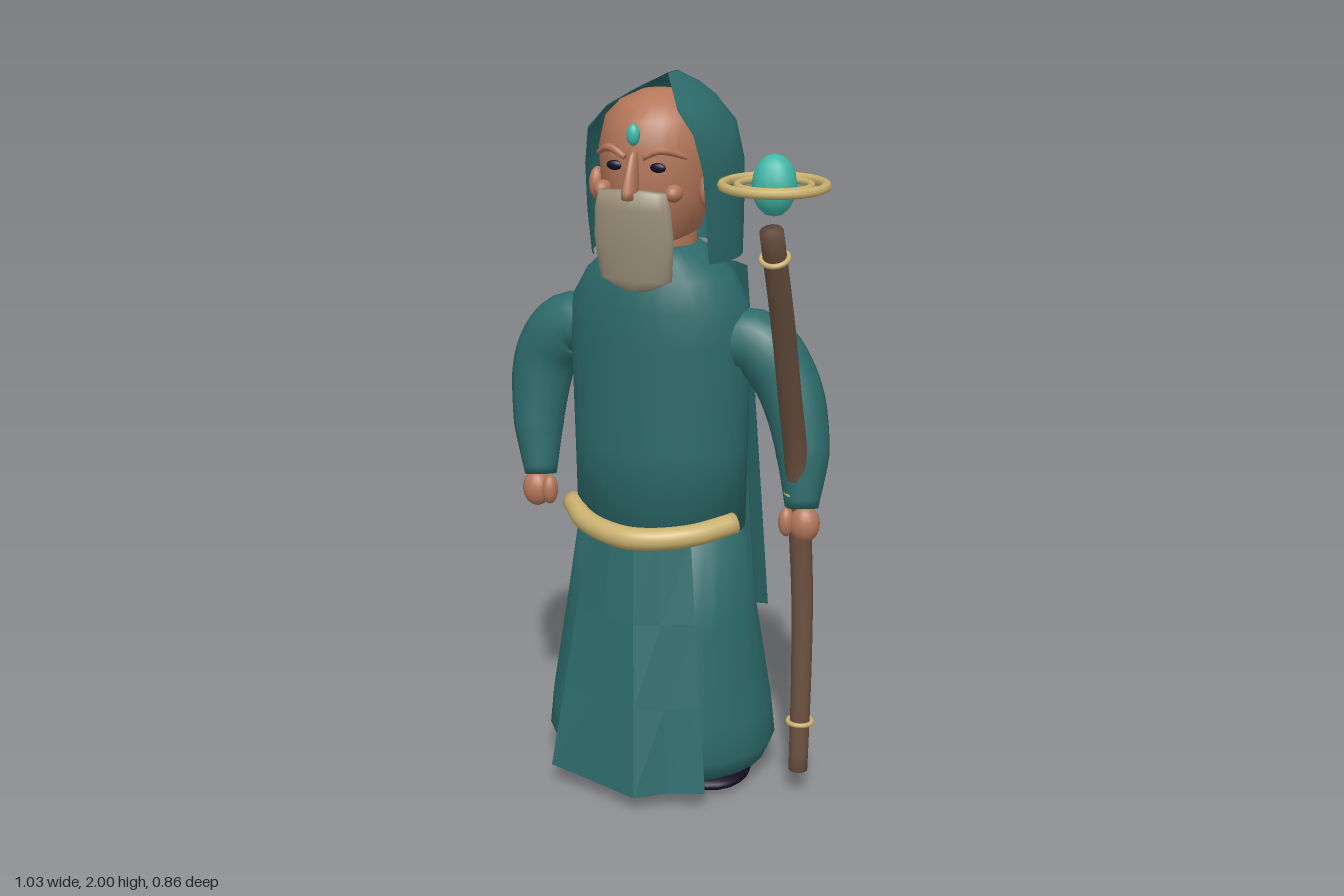
import * as THREE from 'three';

const mat = (name, color, side = THREE.FrontSide) => {
  const m = new THREE.MeshStandardMaterial({ color, side });
  m.name = name;
  return m;
};
const V = (x, y, z) => new THREE.Vector3(x, y, z);

// Skin a grid of points; each row is a cross-section
function skinGrid(rows, closed, faceted = false) {
  const n = rows[0].length, pos = [], idx = [];
  rows.forEach(r => r.forEach(p => pos.push(p.x, p.y, p.z)));
  for (let i = 0; i < rows.length - 1; i++) {
    for (let j = 0; j < (closed ? n : n - 1); j++) {
      const k = (j + 1) % n;
      const a = i * n + j, b = a + n, c = i * n + k, d = c + n;
      idx.push(a, b, c, b, d, c);
    }
  }
  let g = new THREE.BufferGeometry();
  g.setAttribute('position', new THREE.Float32BufferAttribute(pos, 3));
  g.setIndex(idx);
  if (faceted) g = g.toNonIndexed();
  g.computeVertexNormals();
  return g;
}

// Stacked ellipses, bottom to top: [y, radiusX, radiusZ, centreZ]
function loft(sections, sides = 28) {
  return skinGrid(sections.map(([y, rx, rz, cz]) =>
    Array.from({ length: sides }, (_, j) => {
      const a = (j / sides) * Math.PI * 2;
      return V(rx * Math.cos(a), y, cz + rz * Math.sin(a));
    })), true);
}

// Capped tube whose radius follows a list along the path
function taperTube(points, radii, steps = 24, sides = 14) {
  const curve = new THREE.CatmullRomCurve3(points.map(p => V(...p)));
  const f = curve.computeFrenetFrames(steps);
  const rows = [];
  const ring = (i, r) => {
    const c = curve.getPointAt(i / steps);
    rows.push(Array.from({ length: sides }, (_, j) => {
      const a = (j / sides) * Math.PI * 2;
      return c.clone().addScaledVector(f.normals[i], r * Math.cos(a))
        .addScaledVector(f.binormals[i], -r * Math.sin(a));
    }));
  };
  ring(0, 0);
  for (let i = 0; i <= steps; i++) {
    const t = (i / steps) * (radii.length - 1), k = Math.min(Math.floor(t), radii.length - 2);
    ring(i, THREE.MathUtils.lerp(radii[k], radii[k + 1], t - k));
  }
  ring(steps, 0);
  return skinGrid(rows, true);
}

export function createModel() {
  const cloth = mat('teal cloth', 0x2d6a6a, THREE.DoubleSide);
  const skin = mat('skin', 0xb4775a);
  const hair = mat('grey beard', 0x9d917b);
  const gold = mat('gold', 0xc9b06e);
  const wood = mat('wood', 0x6b5140);
  const gem = mat('turquoise gem', 0x40b8a8);
  const dark = mat('dark', 0x120c20);

  const model = new THREE.Group();
  const body = new THREE.Group();
  body.name = 'body';
  body.position.x = -0.067;
  model.add(body);

  const add = (parent, name, geometry, material, p = [0, 0, 0], s = [1, 1, 1]) => {
    const m = new THREE.Mesh(geometry, material);
    m.name = name;
    m.position.set(...p);
    m.scale.set(...s);
    parent.add(m);
    return m;
  };
  const ball = (parent, name, material, p, s) =>
    add(parent, name, new THREE.SphereGeometry(1, 18, 12), material, p, s);

  // Robe
  add(body, 'skirt', loft([
    [0.045, 0, 0, -0.085], [0.045, 0.25, 0.21, -0.085], [0.06, 0.31, 0.26, -0.085],
    [0.12, 0.336, 0.285, -0.085], [0.22, 0.325, 0.28, -0.085], [0.5, 0.28, 0.235, -0.085],
    [0.77, 0.238, 0.19, -0.08], [0.78, 0, 0, -0.08]]), cloth);
  add(body, 'torso', loft([
    [0.75, 0, 0, -0.08], [0.76, 0.245, 0.18, -0.08], [1.0, 0.25, 0.18, -0.08],
    [1.3, 0.257, 0.183, -0.08], [1.4, 0.25, 0.18, -0.08], [1.48, 0.205, 0.17, -0.08],
    [1.53, 0.15, 0.155, -0.08], [1.56, 0.1, 0.12, -0.08], [1.57, 0, 0, -0.08]]), cloth);

  // Folded cloth panels: columns are [top x, top z, bottom x, bottom z, bottom y]
  const panel = (name, columns, topY) => add(body, name, skinGrid(
    [0, 0.33, 0.66, 1].map(t => columns.map(([tx, tz, bx, bz, by]) =>
      V(tx + (bx - tx) * t, topY + (by - topY) * t, tz + (bz - tz) * t))), false, true), cloth);
  panel('cape', [
    [-0.2, -0.22, -0.255, -0.285, 0.45], [-0.19, -0.25, -0.245, -0.315, 0.44],
    [-0.14, -0.29, -0.19, -0.36, 0.42], [-0.07, -0.31, -0.08, -0.38, 0.41],
    [-0.03, -0.33, -0.03, -0.43, 0.39], [0.03, -0.33, 0.05, -0.43, 0.39],
    [0.08, -0.31, 0.1, -0.385, 0.41], [0.14, -0.29, 0.19, -0.355, 0.42],
    [0.19, -0.25, 0.245, -0.315, 0.44], [0.2, -0.22, 0.255, -0.285, 0.45]], 1.47);
  panel('frontPanel', [
    [-0.15, 0.075, -0.235, 0.18, 0.06], [-0.07, 0.115, -0.11, 0.205, 0.05],
    [0, 0.125, 0.05, 0.253, 0.045], [0.07, 0.115, 0.13, 0.2, 0.05],
    [0.15, 0.075, 0.235, 0.18, 0.06]], 0.77);
  add(body, 'belt', taperTube([[-0.245, 0.8, -0.015], [-0.15, 0.785, 0.09], [0, 0.777, 0.145],
    [0.15, 0.785, 0.09], [0.245, 0.8, -0.015]], [0.03, 0.032, 0.03]), gold);

  // Hood, open at the face and below: [y, half width, rim z, back z]
  const hood = [
    [1.52, 0.207, -0.01, -0.33], [1.64, 0.21, 0.015, -0.35], [1.77, 0.207, 0.035, -0.37],
    [1.87, 0.185, 0.06, -0.367], [1.93, 0.125, 0.05, -0.345], [1.965, 0.07, -0.03, -0.3],
    [2.0, 0.002, -0.13, -0.21]];
  add(body, 'hood', skinGrid(hood.map(([y, w, zr, zb]) => {
    const d = (zr - zb) / 1.6;
    return Array.from({ length: 25 }, (_, j) => {
      const a = -0.644 + (j / 24) * (Math.PI + 1.288);
      return V(w * Math.cos(a), y, zb + d - d * Math.sin(a));
    });
  }), false), cloth);

  // Head and face
  add(body, 'head', loft([
    [1.55, 0, 0, -0.07], [1.56, 0.06, 0.09, -0.07], [1.6, 0.11, 0.135, -0.07],
    [1.7, 0.15, 0.163, -0.07], [1.82, 0.158, 0.168, -0.07], [1.9, 0.14, 0.148, -0.07],
    [1.94, 0.1, 0.11, -0.07], [1.965, 0.045, 0.05, -0.07], [1.97, 0, 0, -0.07]]), skin);
  add(body, 'neck', new THREE.CylinderGeometry(0.1, 0.1, 0.12, 18), skin, [0, 1.56, -0.08]);
  add(body, 'nose', loft([
    [1.7, 0, 0, 0.13], [1.71, 0.02, 0.035, 0.13], [1.73, 0.02, 0.038, 0.128],
    [1.82, 0.011, 0.02, 0.105], [1.83, 0, 0, 0.1]], 10), skin);
  add(body, 'beard', loft([
    [1.455, 0, 0, 0.09], [1.46, 0.04, 0.02, 0.09], [1.49, 0.102, 0.03, 0.092],
    [1.6, 0.112, 0.036, 0.105], [1.68, 0.106, 0.036, 0.112], [1.725, 0.095, 0.032, 0.115],
    [1.73, 0, 0, 0.115]], 20), hair);
  ball(body, 'foreheadGem', gem, [0, 1.87, 0.105], [0.018, 0.028, 0.016]);
  for (const s of [-1, 1]) {
    ball(body, 'eye', dark, [s * 0.061, 1.786, 0.087], [0.022, 0.013, 0.009]);
    ball(body, 'cheek', skin, [s * 0.1, 1.72, 0.075], [0.023, 0.023, 0.03]);
    ball(body, 'ear', skin, [s * 0.157, 1.715, -0.02], [0.022, 0.045, 0.03]);
    add(body, 'brow', taperTube([[s * 0.025, 1.812, 0.103], [s * 0.07, 1.832, 0.092],
      [s * 0.125, 1.81, 0.045]], [0.008, 0.011, 0.006], 10, 8), skin);
    ball(body, 'shoe', dark, [s * 0.19, 0.03, -0.025], [0.1, 0.03, 0.125]);
  }

  // Arms and hands
  add(model, 'rightArm', taperTube([[-0.26, 1.3, -0.085], [-0.34, 1.3, -0.09], [-0.415, 1.21, -0.09],
    [-0.432, 1.05, -0.06], [-0.41, 0.87, -0.015]], [0.085, 0.095, 0.085, 0.07, 0.045]), cloth);
  add(model, 'leftArm', taperTube([[0.13, 1.3, -0.085], [0.21, 1.3, -0.09], [0.295, 1.2, -0.09],
    [0.352, 1.04, -0.06], [0.37, 0.87, -0.015]], [0.085, 0.092, 0.085, 0.072, 0.045]), cloth);
  for (const [name, x, s] of [['rightHand', -0.405, 1], ['leftHand', 0.37, -1]]) {
    ball(model, name, skin, [x - s * 0.012, 0.83, -0.005], [0.042, 0.052, 0.04]);
    ball(model, name + 'Thumb', skin, [x + s * 0.035, 0.835, 0.01], [0.022, 0.042, 0.026]);
  }

  // Staff with bands
  const path = [[0.375, 0.08, -0.02], [0.375, 0.35, -0.03], [0.37, 0.6, -0.038], [0.362, 0.8, -0.03],
    [0.357, 1.0, 0], [0.36, 1.2, 0.075], [0.37, 1.45, 0.185], [0.375, 1.69, 0.295]];
  add(model, 'staff', taperTube(path, [0.027, 0.032, 0.03], 32), wood);
  const curve = new THREE.CatmullRomCurve3(path.map(p => V(...p)));
  for (const y of [0.225, 0.915, 1.615]) {
    let t = 0;
    while (t < 1 && curve.getPoint(t).y < y) t += 0.002;
    const band = add(model, 'staffBand', new THREE.TorusGeometry(0.034, 0.007, 8, 20), gold,
      curve.getPoint(t).toArray());
    band.quaternion.setFromUnitVectors(V(0, 0, 1), curve.getTangent(t));
  }

  // Floating orb and its two rings
  add(model, 'orb', new THREE.SphereGeometry(1, 12, 8), gem, [0.38, 1.803, 0.295], [0.056, 0.076, 0.056]);
  for (const [r, tube] of [[0.126, 0.012], [0.09, 0.009]]) {
    add(model, 'orbRing', new THREE.TorusGeometry(r, tube, 8, 36), gold, [0.38, 1.803, 0.295])
      .rotation.x = Math.PI / 2;
  }
  return model;
}
